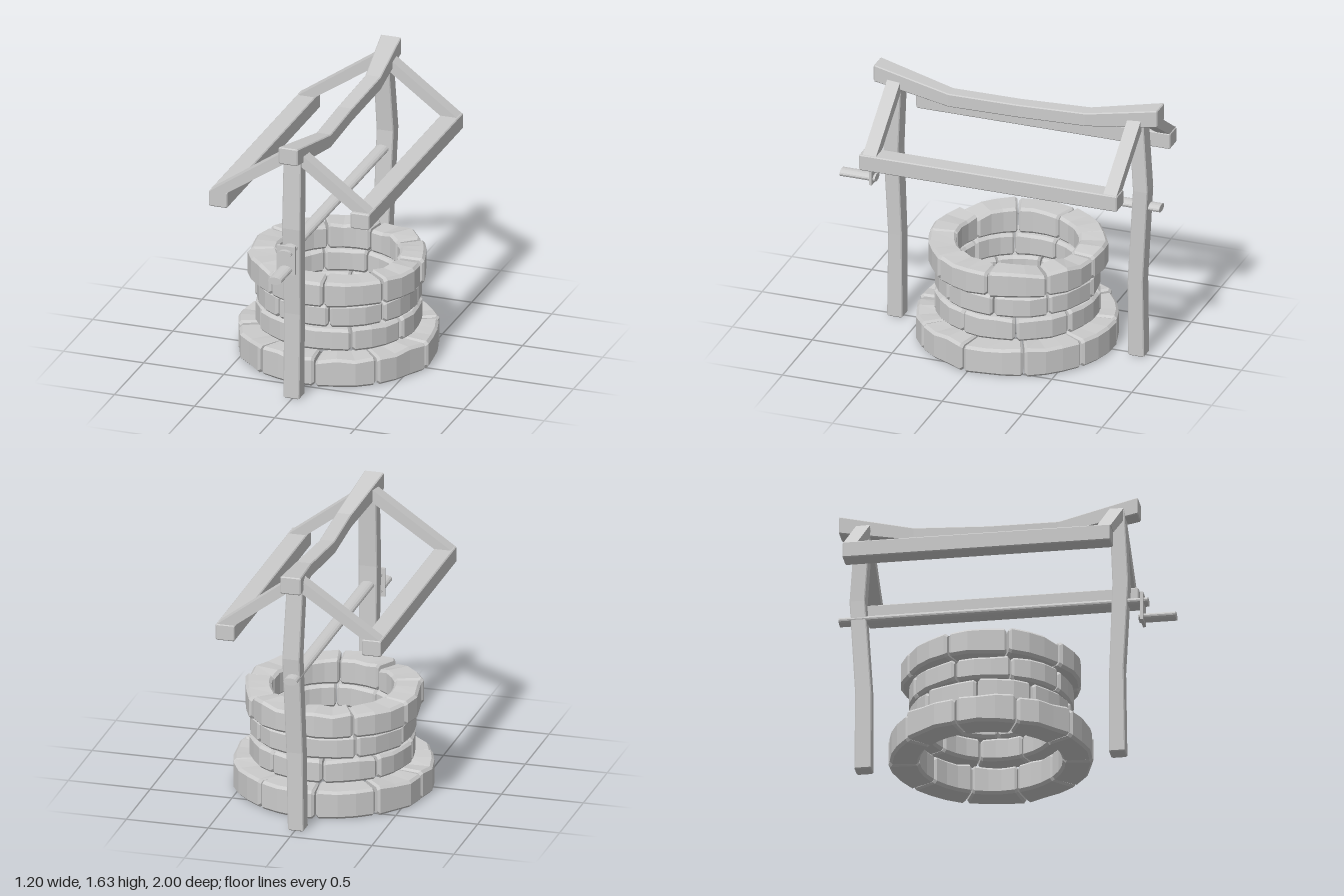
import * as THREE from 'three';

const material = new THREE.MeshStandardMaterial({ color: 0xcccccc, flatShading: true });

// Small seeded generator for the uneven stonework, returns -1..1
let seed = 7;
function jitter() {
  seed = (seed * 16807) % 2147483647;
  return (seed / 2147483647) * 2 - 1;
}

function add(parent, name, geometry) {
  const mesh = new THREE.Mesh(geometry, material);
  mesh.name = name;
  parent.add(mesh);
  return mesh;
}

// Skin a closed solid over rings of points (each ring counter-clockwise about its travel direction)
function loft(rings) {
  const n = rings[0].length;
  const last = (rings.length - 1) * n;
  const index = [];
  for (let i = 0; i < last; i += n) {
    for (let j = 0; j < n; j++) {
      const k = (j + 1) % n;
      index.push(i + j, i + k, i + n + j, i + k, i + n + k, i + n + j);
    }
  }
  for (let j = 1; j < n - 1; j++) {
    index.push(0, j + 1, j, last, last + j, last + j + 1);
  }
  const geometry = new THREE.BufferGeometry();
  geometry.setAttribute('position', new THREE.Float32BufferAttribute(rings.flat(2), 3));
  geometry.setIndex(index);
  geometry.computeVertexNormals();
  return geometry;
}

// Rectangle u0..u1 by v0..v1 with chamfered corners, shrunk by inset
function section(u0, u1, v0, v1, bevel, inset = 0) {
  u0 += inset; v0 += inset; u1 -= inset; v1 -= inset;
  const b = bevel;
  return [[u0 + b, v0], [u1 - b, v0], [u1, v0 + b], [u1, v1 - b],
    [u1 - b, v1], [u0 + b, v1], [u0, v1 - b], [u0, v0 + b]];
}

// Hewn timber through stations [x, y, z, half width, half depth], along 'y' or 'z'
function timber(axis, stations) {
  const bevel = 0.006;
  const a = axis === 'y' ? 1 : 2;
  const first = stations[0].slice();
  const end = stations[stations.length - 1].slice();
  const body = stations.map((s) => s.slice());
  body[0][a] += bevel;
  body[body.length - 1][a] -= bevel;
  const all = [first, ...body, end];
  return loft(all.map(([x, y, z, w, d], i) => {
    const inset = i === 0 || i === all.length - 1 ? bevel : 0;
    return axis === 'y'
      ? section(z - d, z + d, x - w, x + w, bevel, inset).map(([u, v]) => [v, y, u])
      : section(x - w, x + w, y - d, y + d, bevel, inset).map(([u, v]) => [u, v, z]);
  }));
}

// One curved, chamfered stone between angles a0 and a1
function stone(inner, outer, bottom, top, a0, a1, rough) {
  const bevel = 0.016;
  const gap = 0.005 / outer;
  const chamfer = bevel / outer;
  const steps = 3;
  const rings = [];
  const tilt = jitter() * 0.5;
  const ring = (angle, r, t, inset) => rings.push(
    section(inner, r, bottom, t, bevel, inset).map(([u, v]) => [u * Math.cos(angle), v, u * Math.sin(angle)]));
  for (let i = 0; i <= steps; i++) {
    const f = i / steps;
    const angle = a0 + gap + chamfer + (a1 - a0 - 2 * gap - 2 * chamfer) * f;
    const r = outer + rough * 0.7 * jitter();
    const t = top + rough * (0.6 * jitter() + tilt * (f - 0.5));
    if (i === 0) ring(angle - chamfer, r, t, bevel * 0.7);
    ring(angle, r, t, 0);
    if (i === steps) ring(angle + chamfer, r, t, bevel * 0.7);
  }
  return loft(rings);
}

export function createModel() {
  const model = new THREE.Group();
  model.name = 'well';

  // Stone courses: inner radius, outer radius, bottom, top, count, first seam in degrees, roughness
  const wall = new THREE.Group();
  wall.name = 'stoneWall';
  wall.position.z = -0.1;
  model.add(wall);
  const courses = [
    ['baseCourse', 0.42, 0.595, 0.01, 0.185, 10, 12, 0.018],
    ['lowerCourse', 0.355, 0.488, 0.195, 0.336, 9, 21, 0.009],
    ['middleCourse', 0.355, 0.488, 0.345, 0.483, 9, -3, 0.009],
    ['topCourse', 0.36, 0.525, 0.488, 0.64, 9, 0, 0.018],
  ];
  for (const [name, inner, outer, bottom, top, count, start, rough] of courses) {
    const course = new THREE.Group();
    course.name = name;
    wall.add(course);
    const step = (Math.PI * 2) / count;
    for (let i = 0; i < count; i++) {
      const a = THREE.MathUtils.degToRad(start) + i * step;
      add(course, 'stone', stone(inner, outer, bottom, top, a, a + step, rough));
    }
  }

  // Crooked posts
  add(model, 'frontPost', timber('y', [
    [-0.005, 0.01, 0.655, 0.05, 0.048], [-0.003, 0.55, 0.652, 0.052, 0.043],
    [0, 1.1, 0.675, 0.057, 0.047], [0, 1.57, 0.655, 0.055, 0.045]]));
  add(model, 'backPost', timber('y', [
    [-0.005, 0.01, -0.855, 0.048, 0.05], [0.003, 0.5, -0.853, 0.05, 0.048],
    [0.015, 1.1, -0.89, 0.053, 0.046], [0, 1.57, -0.856, 0.05, 0.046]]));

  // Sagging ridge beam
  add(model, 'ridgeBeam', timber('z', [
    [0, 1.587, -0.995, 0.063, 0.054], [0.045, 1.525, -0.56, 0.048, 0.042],
    [0.03, 1.5, -0.12, 0.046, 0.041], [0.05, 1.507, 0.3, 0.046, 0.042],
    [0.003, 1.587, 0.78, 0.06, 0.053]]));

  // Eave beams and the rafters that carry them
  for (const [side, x, front] of [['right', -0.467, 0.69], ['left', 0.427, 0.715]]) {
    add(model, side + 'EaveBeam', timber('z', [
      [x, 1.21, -0.9, 0.058, 0.05], [x, 1.21, front, 0.058, 0.05]]));
    const s = Math.sign(x);
    const profile = new THREE.Shape([
      new THREE.Vector2(s * 0.02, 1.6), new THREE.Vector2(s * 0.02, 1.52),
      new THREE.Vector2(x - s * 0.05, 1.255), new THREE.Vector2(x + s * 0.054, 1.255)]);
    for (const [end, z] of [['front', 0.61], ['back', -0.895]]) {
      const rafter = new THREE.ExtrudeGeometry(profile, { depth: 0.083, bevelEnabled: false });
      rafter.translate(0, 0, z);
      add(model, end + side[0].toUpperCase() + side.slice(1) + 'Rafter', rafter);
    }
  }

  // Winch: flattened axle, crank plate and handle
  function rod(name, y, z0, z1) {
    const geometry = new THREE.CylinderGeometry(1, 1, z1 - z0, 16);
    geometry.rotateX(Math.PI / 2);
    geometry.scale(0.042, 0.023, 1);
    geometry.translate(0, y, (z0 + z1) / 2);
    add(model, name, geometry);
  }
  rod('axle', 0.985, -1, 0.835);
  rod('crankHandle', 0.882, 0.78, 1);
  add(model, 'crankPlate', new THREE.BoxGeometry(0.114, 0.178, 0.018)).position.set(0, 0.939, 0.802);

  return model;
}
